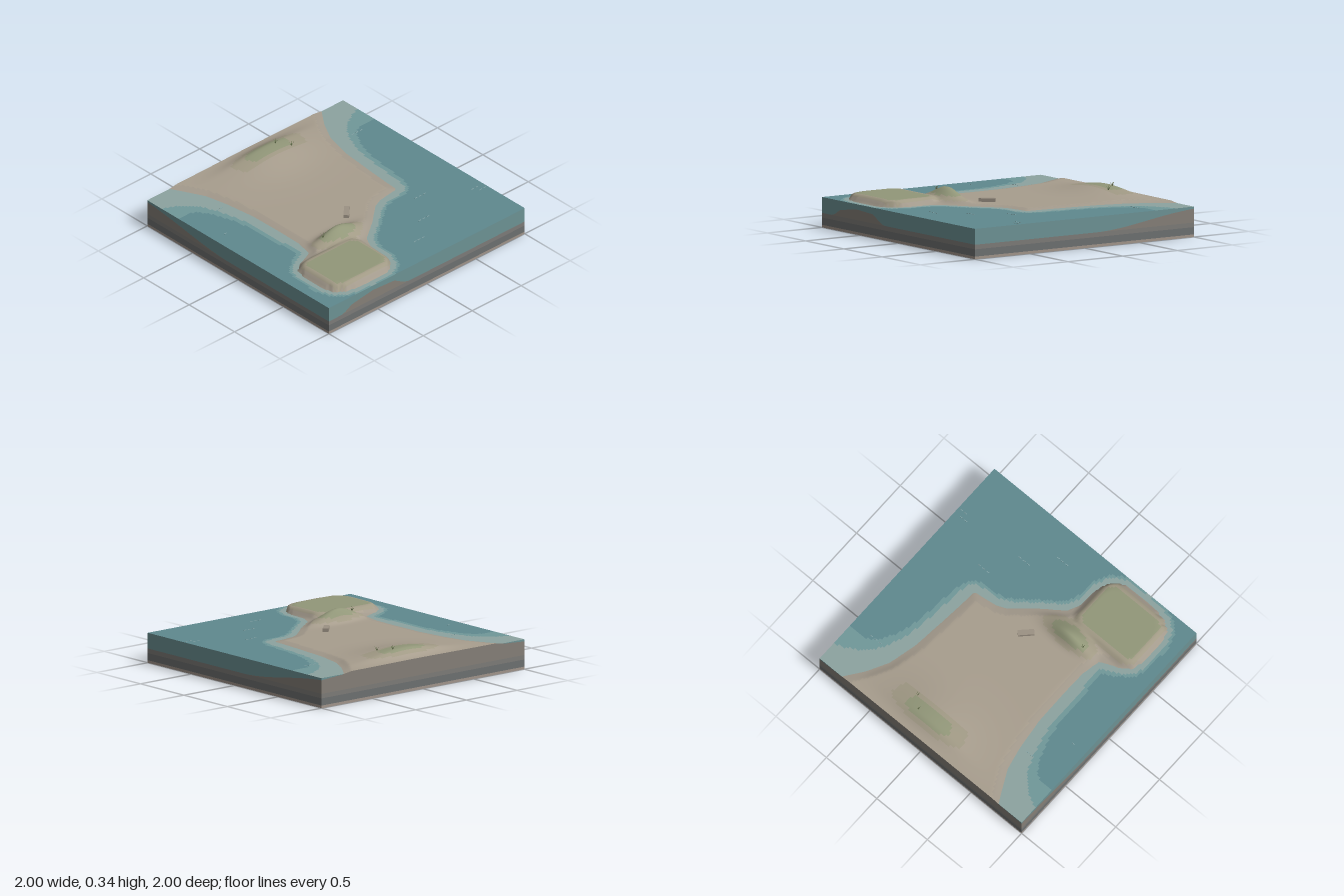
import * as THREE from 'three';

const SEA = 0.23, N = 110;
const { smoothstep, lerp } = THREE.MathUtils;

// Shoreline, walked clockwise from the back left corner (x, z)
const shore = [[-0.8, -1.05], [-0.73, -0.92], [-0.64, -0.74], [-0.6, -0.55], [-0.57, -0.3], [-0.565, 0],
  [-0.57, 0.2], [-0.6, 0.35], [-0.74, 0.41], [-0.82, 0.47], [-0.845, 0.56], [-0.85, 0.76], [-0.82, 0.86], [-0.74, 0.92],
  [-0.55, 0.945], [-0.35, 0.935], [-0.26, 0.88], [-0.22, 0.79], [-0.2, 0.6], [-0.15, 0.5], [0.04, 0.36],
  [0.2, 0.22], [0.28, 0.185], [0.47, 0.16], [0.49, -0.1], [0.525, -0.45], [0.58, -0.68], [0.67, -0.85], [0.78, -1.0],
  [0.95, -1.3], [0.6, -1.8], [-0.6, -1.8], [-0.95, -1.3]];

// Distance to the shoreline: positive at sea, negative on land
function shoreDistance(x, z) {
  let best = 9, inside = false;
  shore.forEach(([ax, az], i) => {
    const [bx, bz] = shore[(i + 1) % shore.length];
    const dx = bx - ax, dz = bz - az;
    const t = THREE.MathUtils.clamp(((x - ax) * dx + (z - az) * dz) / (dx * dx + dz * dz), 0, 1);
    best = Math.min(best, Math.hypot(x - ax - t * dx, z - az - t * dz));
    if ((az > z) !== (bz > z) && x < ax + (z - az) / dz * dx) inside = !inside;
  });
  return inside ? -best : best;
}

// Distance inward from the rounded edge of the headland
function headlandInset(x, z) {
  const qx = Math.abs(x + 0.53) - 0.2, qz = Math.abs(z - 0.68) - 0.14;
  return 0.125 - Math.hypot(Math.max(qx, 0), Math.max(qz, 0)) - Math.min(Math.max(qx, qz), 0);
}

// Bell with a different width on each side of its centre
const bell = (v, centre, below, above) => Math.exp(-(((v - centre) / (v < centre ? below : above)) ** 2));

// Ground height: sea bed, beach, headland plateau, dune ridge and back hill
function ground(x, z, d = shoreDistance(x, z)) {
  if (d > 0) {
    const deepest = 0.018 + 0.102 * smoothstep(z, -1.05, -0.1);
    const width = lerp(0.27, 0.15, smoothstep(z, 0, 0.4));
    return SEA - 0.004 * Math.min(1, d * 50) - (deepest - 0.004) * smoothstep(d, 0, width);
  }
  const inland = smoothstep(-d, 0, 0.07);
  const plateau = 0.041 * smoothstep(headlandInset(x, z), -0.01, 0.06);
  const ridge = 0.098 * bell(z, 0.34, 0.06, 0.1) * bell(x, -0.31, 0.19, 0.19) * inland;
  const hill = 0.063 * bell(z, -0.85, 0.085, 0.28) * bell(x, 0.06, 0.36, 0.38) * inland;
  return SEA + 0.011 * Math.min(1, -d / 0.06) + Math.max(plateau, ridge) + hill;
}

function mesh(name, geometry, color, side = THREE.FrontSide) {
  const m = new THREE.Mesh(geometry, new THREE.MeshStandardMaterial({ color, side, roughness: 0.9 }));
  m.name = name;
  return m;
}

// Square grid whose cells are sorted into one mesh per band
function bandedGrid(heightAt, bandAt, colors) {
  const full = new THREE.PlaneGeometry(2, 2, N, N).rotateX(-Math.PI / 2);
  const p = full.attributes.position;
  for (let i = 0; i < p.count; i++) p.setY(i, heightAt(p.getX(i), p.getZ(i)));
  full.computeVertexNormals();
  const lists = {}, index = full.index.array;
  for (let k = 0; k < index.length; k += 6) {
    const cell = (k / 6) % N, row = Math.floor(k / 6 / N);
    const band = bandAt(-1 + (cell + 0.5) * 2 / N, -1 + (row + 0.5) * 2 / N);
    if (band) (lists[band] ??= []).push(...index.slice(k, k + 6));
  }
  return Object.entries(lists).map(([band, list]) => {
    const g = new THREE.BufferGeometry();
    g.setAttribute('position', p);
    g.setAttribute('normal', full.attributes.normal);
    g.setIndex(list);
    return mesh(band, g, colors[band]);
  });
}

// One layer of the cut block, running round all four sides
function layer(name, color, bottomAt, topAt) {
  const pos = [];
  const sides = [u => [u, 1], u => [1, -u], u => [-u, -1], u => [-1, u]];
  for (const at of sides) {
    for (let i = 0; i < N; i++) {
      const [ax, az] = at(-1 + i * 2 / N), [bx, bz] = at(-1 + (i + 1) * 2 / N);
      const a0 = bottomAt(ax, az), a1 = topAt(ax, az), b0 = bottomAt(bx, bz), b1 = topAt(bx, bz);
      if (a1 - a0 < 1e-5 && b1 - b0 < 1e-5) continue;
      pos.push(ax, a0, az, bx, b0, bz, bx, b1, bz, ax, a0, az, bx, b1, bz, ax, a1, az);
    }
  }
  const g = new THREE.BufferGeometry();
  g.setAttribute('position', new THREE.Float32BufferAttribute(pos, 3));
  g.computeVertexNormals();
  return mesh(name, g, color);
}

// Splayed blades of beach grass
function grassTuft(x, z) {
  const tuft = new THREE.Group();
  tuft.name = 'grassTuft';
  for (let i = 0; i < 5; i++) {
    const blade = mesh('blade', new THREE.ConeGeometry(0.003, 0.042, 4).translate(0, 0.018, 0), 0x6f7a55);
    blade.rotation.set(0, i * 1.257, i ? 0.5 : 0.1, 'YXZ');
    tuft.add(blade);
  }
  tuft.position.set(x, ground(x, z), z);
  return tuft;
}

export function createModel() {
  const model = new THREE.Group();

  // Land
  const land = new THREE.Group();
  land.name = 'land';
  land.add(...bandedGrid((x, z) => ground(x, z), (x, z) => {
    const d = shoreDistance(x, z), h = ground(x, z, d);
    if (d > 0.06) return null;
    if (headlandInset(x, z) > 0.075) return 'grass';
    if (z < -0.77 && z > -0.93 && h > 0.287) return 'grass';
    if (z > 0.26 && z < 0.5 && h > 0.285) return 'grass';
    if (z > 0.24 && h > 0.258 || z < -0.72 && h > 0.268) return 'duneSand';
    return d > -0.06 ? 'wetSand' : 'drySand';
  }, { grass: 0x929779, duneSand: 0xa19a85, wetSand: 0xa39a8c, drySand: 0xa89e8e }));
  model.add(land);

  // Sea, lighter where it is shallow
  const sea = new THREE.Group();
  sea.name = 'sea';
  sea.add(...bandedGrid(() => SEA, (x, z) => {
    const d = shoreDistance(x, z), depth = SEA - ground(x, z, d);
    if (d < -0.05) return null;
    return depth < 0.032 ? 'shallowWater' : depth < 0.056 ? 'middleWater' : 'deepWater';
  }, { shallowWater: 0x8ca3a0, middleWater: 0x70989a, deepWater: 0x5f898f }));
  model.add(sea);

  // Cut sides of the block
  const level = y => () => y;
  const bed = (x, z) => Math.max(0.11, ground(x, z));
  model.add(
    layer('baseLayer', 0xa0948a, level(0), level(0.02)),
    layer('lowerRock', 0x6d7070, level(0.02), level(0.075)),
    layer('upperRock', 0x7c7b78, level(0.075), level(0.11)),
    layer('soilLayer', 0x857f77, level(0.11), bed),
    layer('waterSide', 0x6c9294, bed, (x, z) => Math.max(SEA, bed(x, z))),
    mesh('underside', new THREE.PlaneGeometry(2, 2).rotateX(Math.PI / 2), 0x80746a));

  // Small hut on the beach
  const hut = mesh('hut', new THREE.BoxGeometry(0.125, 0.035, 0.043), 0x9c9284);
  hut.position.set(-0.04, 0.25, 0.16);
  hut.rotation.y = Math.PI / 4;
  model.add(hut);

  // Beach grass on the ridge and hill
  for (const [x, z] of [[-0.45, 0.34], [0.16, -0.84], [0.24, -0.75]]) model.add(grassTuft(x, z));

  // Ripples: x, z and number of dashes
  for (const [x, z, count] of [[0.78, -0.61, 3], [-0.69, -0.545, 2], [-0.88, -0.27, 1], [0.54, 0.345, 3],
    [0.35, 0.59, 3], [0.13, 0.775, 3], [0.91, 0.545, 2], [0.95, 0.59, 2]]) {
    for (let i = 0; i < count; i++) {
      const ripple = mesh('ripple', new THREE.BoxGeometry(0.025, 0.003, 0.005), 0x86a6a8);
      ripple.position.set(x + (i - (count - 1) / 2) * 0.042, SEA + 0.001, z);
      ripple.rotation.y = 0.08;
      model.add(ripple);
    }
  }
  return model;
}
